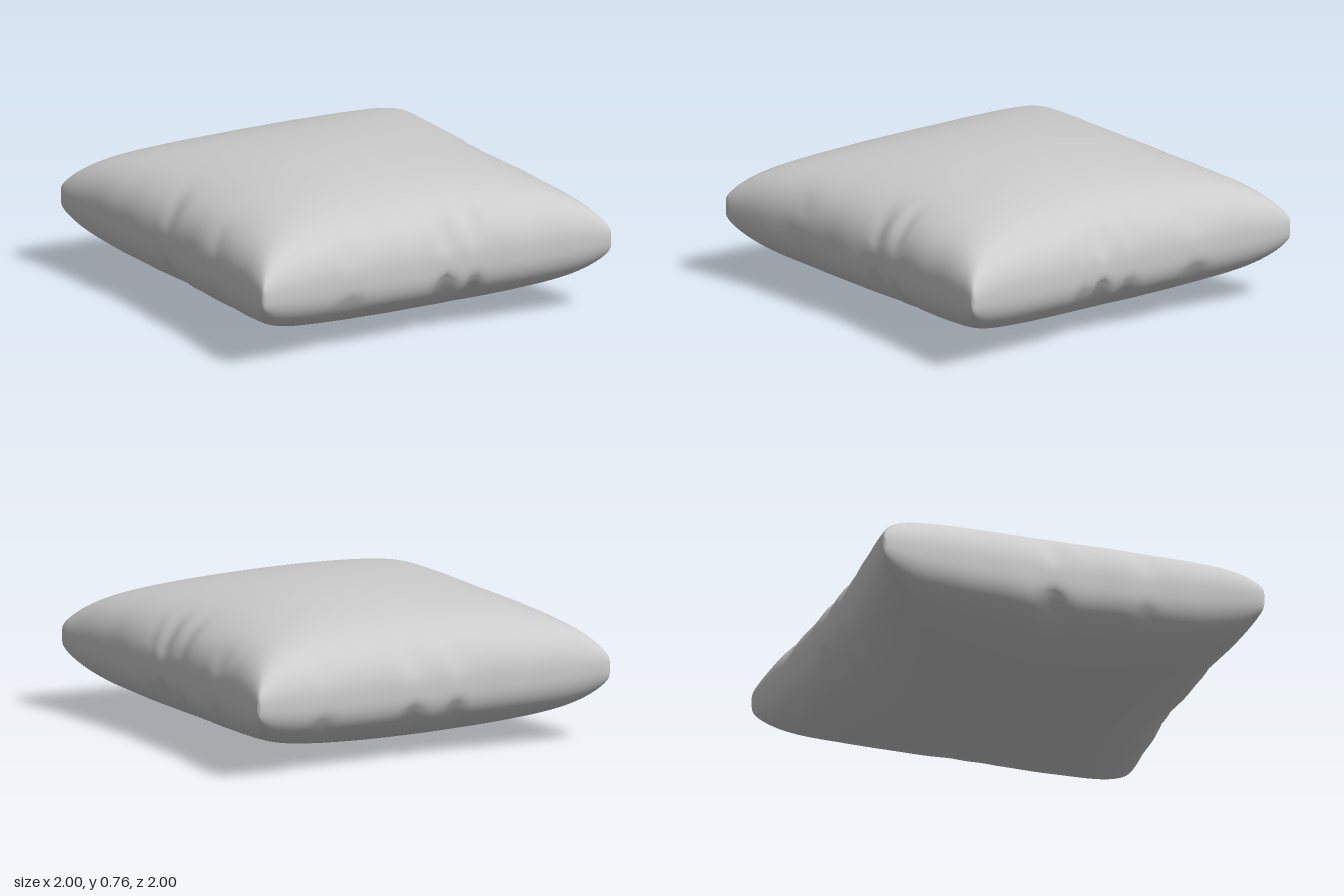
import * as THREE from 'three';
import { mergeGeometries, mergeVertices } from 'three/addons/utils/BufferGeometryUtils.js';

const HALF = 0.38; // half the thickness
const SEGMENTS = 90;

// Seam puckers: centre x, z, spread in x, z, and depth
const PUCKERS = [
  [0.10, 0.90, 0.05, 0.09, 0.06], [0.26, 0.88, 0.04, 0.10, 0.04], [-0.45, 0.93, 0.07, 0.05, 0.025],
  [0.90, 0.12, 0.09, 0.05, 0.06], [0.89, -0.05, 0.10, 0.05, 0.03], [0.92, -0.45, 0.06, 0.07, 0.03],
  [-0.90, -0.08, 0.08, 0.06, 0.045], [-0.92, 0.40, 0.05, 0.05, 0.02], [0.92, 0.24, 0.07, 0.04, 0.03],
  [0.08, -0.91, 0.06, 0.07, 0.035], [-0.16, -0.91, 0.05, 0.07, 0.035], [0.6, -0.93, 0.06, 0.05, 0.02],
];

// How far an edge bows inward at position t along it
const bow = (t, depth, phase) =>
  (1 - t * t) * (depth + 0.005 * Math.sin(9 * t + phase) + 0.003 * Math.sin(21 * t + 2 * phase));

// Moves one point of a flat square (-1..1) onto the upper (+1) or lower (-1) face
function inflate(p, side) {
  const u = Math.sin(p.x * Math.PI / 2), v = Math.sin(p.z * Math.PI / 2);
  const a = Math.max(0, 1 - u * u), b = Math.max(0, 1 - v * v);

  // Smooth minimum of both edge falloffs gives the dome and its corner ridges
  const m = a * b === 0 ? 0 : 1 / Math.sqrt(a ** -2 + b ** -2 - 1);
  const corner = Math.abs(u * v);
  let h = HALF * m ** 0.4 * (1 - 0.38 * corner ** 8);

  const tip = 1.006 - 0.016 * corner ** 50;
  const x = u * (tip - Math.abs(u) ** 3 * bow(v, u > 0 ? 0.08 : 0.07, u > 0 ? 1 : 2.5));
  const z = v * (tip - Math.abs(v) ** 3 * bow(u, v > 0 ? 0.085 : 0.07, v > 0 ? 0.4 : 4));

  // Dents fade to nothing at the seam so the faces stay joined
  for (const [cx, cz, sx, sz, depth] of PUCKERS) {
    const g = Math.exp(-(((x - cx) / sx) ** 2) - ((z - cz) / sz) ** 2);
    h -= depth * g * Math.min(1, h / 0.12) * (side > 0 ? 0.7 : 1);
  }
  const edge = Math.max(Math.abs(u), Math.abs(v)) ** 12;
  const seamDrop = 0.02 * edge * Math.max(a, b);
  p.set(x, HALF + side * h - seamDrop, z);
}

function cushionFace(side) {
  const geo = new THREE.PlaneGeometry(2, 2, SEGMENTS, SEGMENTS).rotateX(-side * Math.PI / 2);
  geo.deleteAttribute('uv');
  geo.deleteAttribute('normal');
  const pos = geo.attributes.position, p = new THREE.Vector3();
  for (let i = 0; i < pos.count; i++) {
    inflate(p.fromBufferAttribute(pos, i), side);
    pos.setXYZ(i, p.x, p.y, p.z);
  }
  return geo;
}

export function createModel() {
  const group = new THREE.Group();
  group.name = 'pillow';

  // Upper and lower faces welded along the seam
  const geo = mergeVertices(mergeGeometries([cushionFace(1), cushionFace(-1)]), 1e-5);
  geo.computeVertexNormals();
  const cushion = new THREE.Mesh(geo, new THREE.MeshStandardMaterial({ color: 0xcccccc }));
  cushion.name = 'cushion';
  group.add(cushion);
  return group;
}
